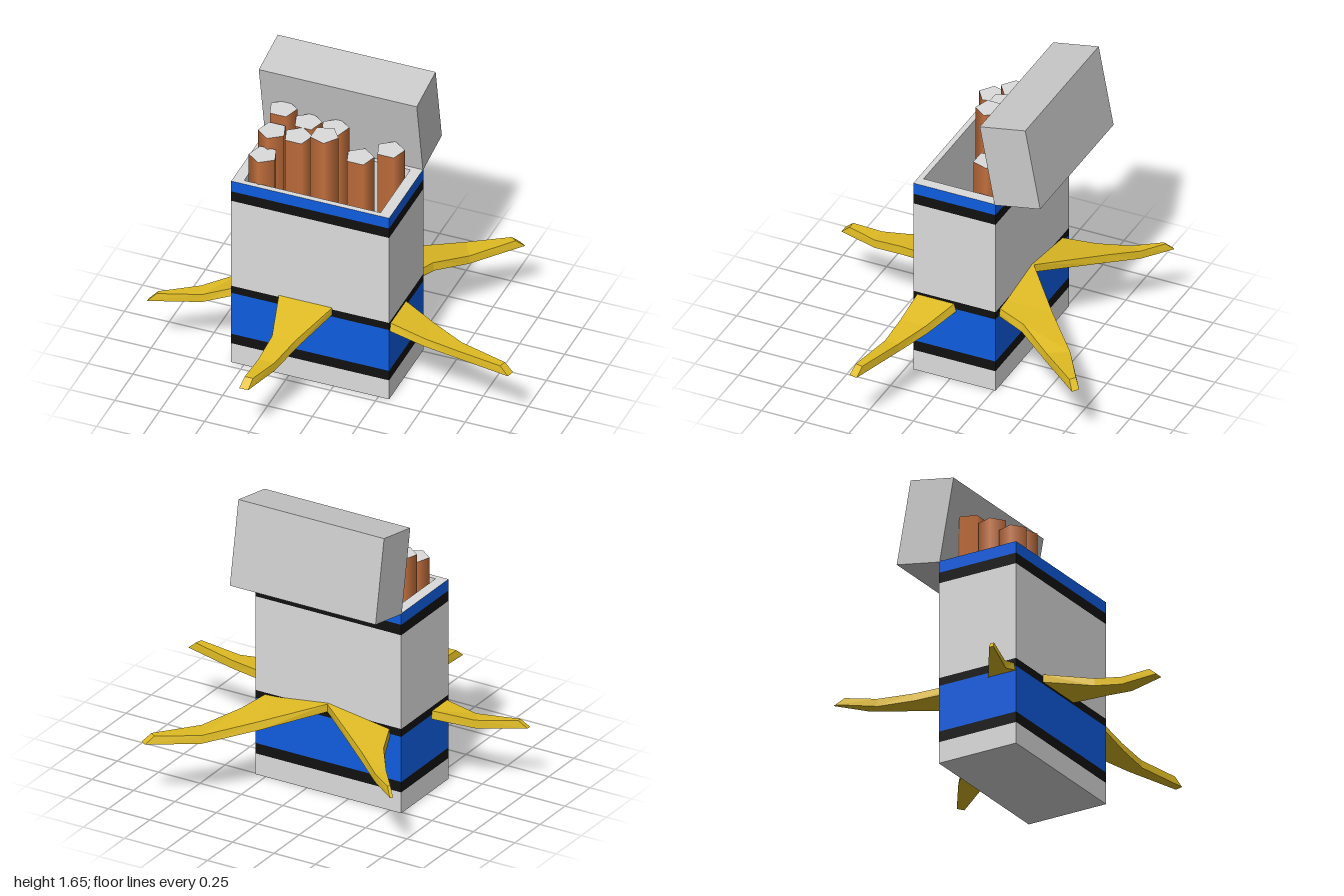
import * as THREE from 'three';

const mat = (name, color, side = THREE.FrontSide) => {
  const m = new THREE.MeshStandardMaterial({ color, side });
  m.name = name;
  return m;
};

// Flat-faced geometry from a list of corner quads or triangles
function faces(list) {
  const pos = [];
  for (const f of list)
    for (let i = 1; i < f.length - 1; i++) pos.push(...f[0], ...f[i], ...f[i + 1]);
  const g = new THREE.BufferGeometry();
  g.setAttribute('position', new THREE.Float32BufferAttribute(pos, 3));
  g.computeVertexNormals();
  return g;
}

// Rectangle corners, counter-clockwise seen from above
const rect = (x0, x1, z0, z1) => [[x0, z1], [x1, z1], [x1, z0], [x0, z0]];

// Four upright walls around a rectangle
function walls(loop, y0, y1, inward = false) {
  return faces(loop.map(([ax, az], i) => {
    const [bx, bz] = loop[(i + 1) % 4];
    const q = [[ax, y0, az], [bx, y0, bz], [bx, y1, bz], [ax, y1, az]];
    return inward ? q.reverse() : q;
  }));
}

export function createModel() {
  const white = mat('white', 0xdcdcdc);
  const grey = mat('lidGrey', 0xcacaca);
  const blue = mat('blue', 0x0f5ce0);
  const black = mat('black', 0x111111);
  const yellow = mat('yellow', 0xdfbb24, THREE.DoubleSide);
  const brown = mat('brown', 0xc4703d);

  const model = new THREE.Group();
  const add = (name, geo, material, parent = model) => {
    const m = new THREE.Mesh(geo, material);
    m.name = name;
    parent.add(m);
    return m;
  };

  // Hollow carton with coloured bands
  const carton = new THREE.Group();
  carton.name = 'carton';
  model.add(carton);
  const outer = rect(-0.57, 0.31, -0.26, 0.21);
  const inner = rect(-0.51, 0.25, -0.23, 0.18);
  const bands = [
    ['baseBand', 0, 0.12, white], ['lowerStripe', 0.12, 0.18, black],
    ['blueBand', 0.18, 0.44, blue], ['middleStripe', 0.44, 0.485, black],
    ['whiteBand', 0.485, 1.025, white], ['upperStripe', 1.025, 1.085, black],
    ['topBand', 1.085, 1.15, blue],
  ];
  for (const [name, y0, y1, m] of bands) add(name, walls(outer, y0, y1), m, carton);
  add('innerWalls', walls(inner, 0.03, 1.15, true), white, carton);
  add('rim', faces(outer.map((a, i) => {
    const j = (i + 1) % 4, at = (p) => [p[0], 1.15, p[1]];
    return [at(a), at(outer[j]), at(inner[j]), at(inner[i])];
  })), white, carton);
  add('innerFloor', faces([inner.map(([x, z]) => [x, 0.03, z])]), white, carton);
  add('underside', faces([outer.map(([x, z]) => [x, 0, z]).reverse()]), white, carton);

  // Tilted lid
  const lid = add('lid', new THREE.BoxGeometry(0.88, 0.468, 0.265), grey);
  lid.position.set(-0.13, 1.4, -0.343);
  lid.rotation.x = 0.183;

  // Five-sided sticks: x, z, top height
  const sticks = [
    [-0.43, -0.15, 1.41], [-0.29, -0.15, 1.365], [-0.14, -0.15, 1.37],
    [0, -0.15, 1.22], [0.17, -0.15, 1.31],
    [-0.43, -0.015, 1.36], [-0.29, -0.015, 1.365], [-0.14, -0.015, 1.41],
    [-0.43, 0.11, 1.29],
  ];
  const bottom = 0.45;
  sticks.forEach(([x, z, top], i) => {
    const turn = i < 5 ? Math.PI : Math.PI * (0.2 + 0.3 * (i % 3));
    const g = new THREE.CylinderGeometry(0.077, 0.077, top - bottom, 5, 1, false, turn);
    add('stick', g, [brown, white, white]).position.set(x, (top + bottom) / 2, z);
  });

  // Five-armed star through the carton; its inner corners as x, y, z
  const notches = [
    [-0.31, 0.5, 0.19], [0, 0.5, 0.19], [0.2, 0.5, -0.08],
    [-0.13, 0.52, -0.27], [-0.42, 0.5, -0.06],
  ];
  // Arm sections from root to tip: left x, left z, right x, right z, height
  const arms = [
    ['frontArm', [[-0.24, 0.48, -0.1, 0.48, 0.435], [-0.245, 0.65, -0.145, 0.65, 0.4],
      [-0.25, 0.82, -0.2, 0.82, 0.4]]],
    ['leftArm', [[0.31, 0.2, 0.31, -0.035, 0.47], [0.5, 0.2, 0.5, 0.04, 0.425],
      [0.68, 0.2, 0.68, 0.115, 0.4], [0.94, 0.24, 0.95, 0.195, 0.4]]],
    ['backLeftArm', [[0.31, -0.41, 0.13, -0.51, 0.45], [0.43, -0.6, 0.36, -0.72, 0.4],
      [0.6, -0.82, 0.565, -0.845, 0.4]]],
    ['backRightArm', [[-0.48, -0.52, -0.565, -0.415, 0.44],
      [-0.64, -0.64, -0.67, -0.57, 0.405], [-0.765, -0.72, -0.775, -0.705, 0.4]]],
    ['rightArm', [[-0.57, 0.04, -0.57, 0.205, 0.46], [-0.76, 0.16, -0.72, 0.24, 0.405],
      [-0.945, 0.285, -0.945, 0.31, 0.4]]],
  ];
  const star = new THREE.Group();
  star.name = 'star';
  model.add(star);
  const thick = 0.044;
  const down = ([x, y, z]) => [x, y - thick, z];
  const centre = [-0.13, 0.56, 0];
  const mix = (a, b, t) => a.map((v, i) => v + (b[i] - v) * t);

  arms.forEach(([name, sections], k) => {
    const a = notches[k], b = notches[(k + 1) % 5];
    const rings = [{ tl: a, tr: b, bl: down(a), br: down(b) }];
    for (const [lx, lz, rx, rz, y] of sections) {
      const l = [lx, y, lz], r = [rx, y, rz];
      rings.push({ tl: mix(l, r, 0.05), tr: mix(r, l, 0.05), bl: down(l), br: down(r) });
    }
    // The slanted tip reaches further out along its underside
    const n = rings.length - 1, end = rings[n], prev = rings[n - 1];
    const dir = new THREE.Vector3(...mix(end.tl, end.tr, 0.5))
      .sub(new THREE.Vector3(...mix(prev.tl, prev.tr, 0.5))).setY(0).setLength(0.05);
    for (const c of ['bl', 'br']) end[c] = [end[c][0] + dir.x, end[c][1], end[c][2] + dir.z];

    const list = [[centre, a, b], [down(centre), down(b), down(a)]];
    for (let i = 0; i < n; i++) {
      const p = rings[i], q = rings[i + 1];
      list.push([p.tl, q.tl, q.tr, p.tr], [p.bl, p.br, q.br, q.bl],
        [p.tl, p.bl, q.bl, q.tl], [p.tr, q.tr, q.br, p.br]);
    }
    list.push([end.tl, end.bl, end.br, end.tr]);
    add(name, faces(list), yellow, star);
  });

  return model;
}
